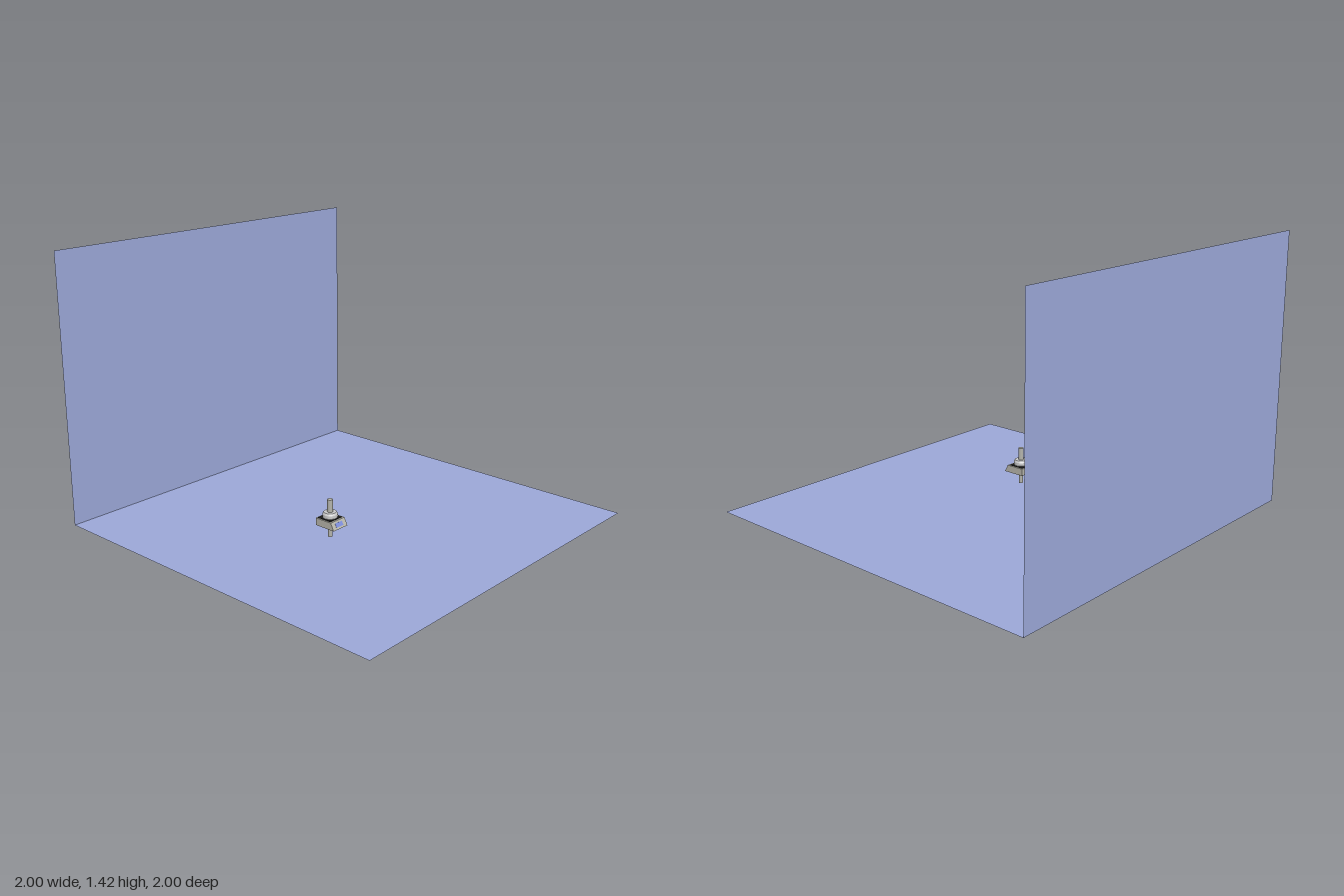
import * as THREE from 'three';

export function createModel() {
  const model = new THREE.Group();
  const paint = (color) => new THREE.MeshStandardMaterial({ color });
  const wallBlue = paint(0x9ca8d8);
  wallBlue.side = THREE.DoubleSide;
  const metal = paint(0xb4b4ac);
  const casing = paint(0xb8b6ac);
  const black = paint(0x181818);
  const white = paint(0xe0e0e0);
  const screenBlue = paint(0x7f8fdc);

  const add = (parent, name, geometry, material, x = 0, y = 0, z = 0) => {
    const mesh = new THREE.Mesh(geometry, material);
    mesh.name = name;
    mesh.position.set(x, y, z);
    parent.add(mesh);
    return mesh;
  };

  // Backdrop: thin floor and back wall
  add(model, 'floor', new THREE.PlaneGeometry(2, 2).rotateX(-Math.PI / 2), wallBlue);
  add(model, 'backWall', new THREE.PlaneGeometry(2, 1.42), wallBlue, 0, 0.71, -1);

  // Small instrument hovering over the floor
  const device = new THREE.Group();
  device.name = 'device';
  device.position.set(-0.27, 0, 0.11);
  model.add(device);

  // Casing with a sloping front, extruded across the width
  const side = new THREE.Shape([
    [-0.05, 0.09], [0.07, 0.09], [0.05, 0.128], [-0.05, 0.128],
  ].map(([z, y]) => new THREE.Vector2(z, y)));
  const casingGeometry = new THREE.ExtrudeGeometry(side, { depth: 0.1, bevelEnabled: false });
  casingGeometry.rotateY(-Math.PI / 2).translate(0.05, 0, 0);
  add(device, 'casing', casingGeometry, casing);

  // Dark inlay on top and screen on the slope
  add(device, 'topInlay', new THREE.BoxGeometry(0.084, 0.004, 0.084), black, 0, 0.128, -0.002);
  const screen = add(device, 'screen', new THREE.BoxGeometry(0.05, 0.022, 0.003), screenBlue, 0, 0.109, 0.06);
  screen.rotation.x = -Math.atan2(0.02, 0.038);

  // Collar with a chamfered rim
  const collar = [[0, 0.128], [0.034, 0.128], [0.038, 0.134], [0.038, 0.15], [0.032, 0.16], [0, 0.16]]
    .map(([r, y]) => new THREE.Vector2(r, y));
  const collarMaterial = white.clone();
  collarMaterial.flatShading = true;
  add(device, 'collar', new THREE.LatheGeometry(collar, 32), collarMaterial);

  // Upper and lower shaft
  add(device, 'upperShaft', new THREE.CylinderGeometry(0.014, 0.014, 0.066, 24), metal, 0, 0.192, 0);
  add(device, 'lowerShaft', new THREE.CylinderGeometry(0.011, 0.011, 0.064, 24), metal, 0, 0.059, 0);

  return model;
}
